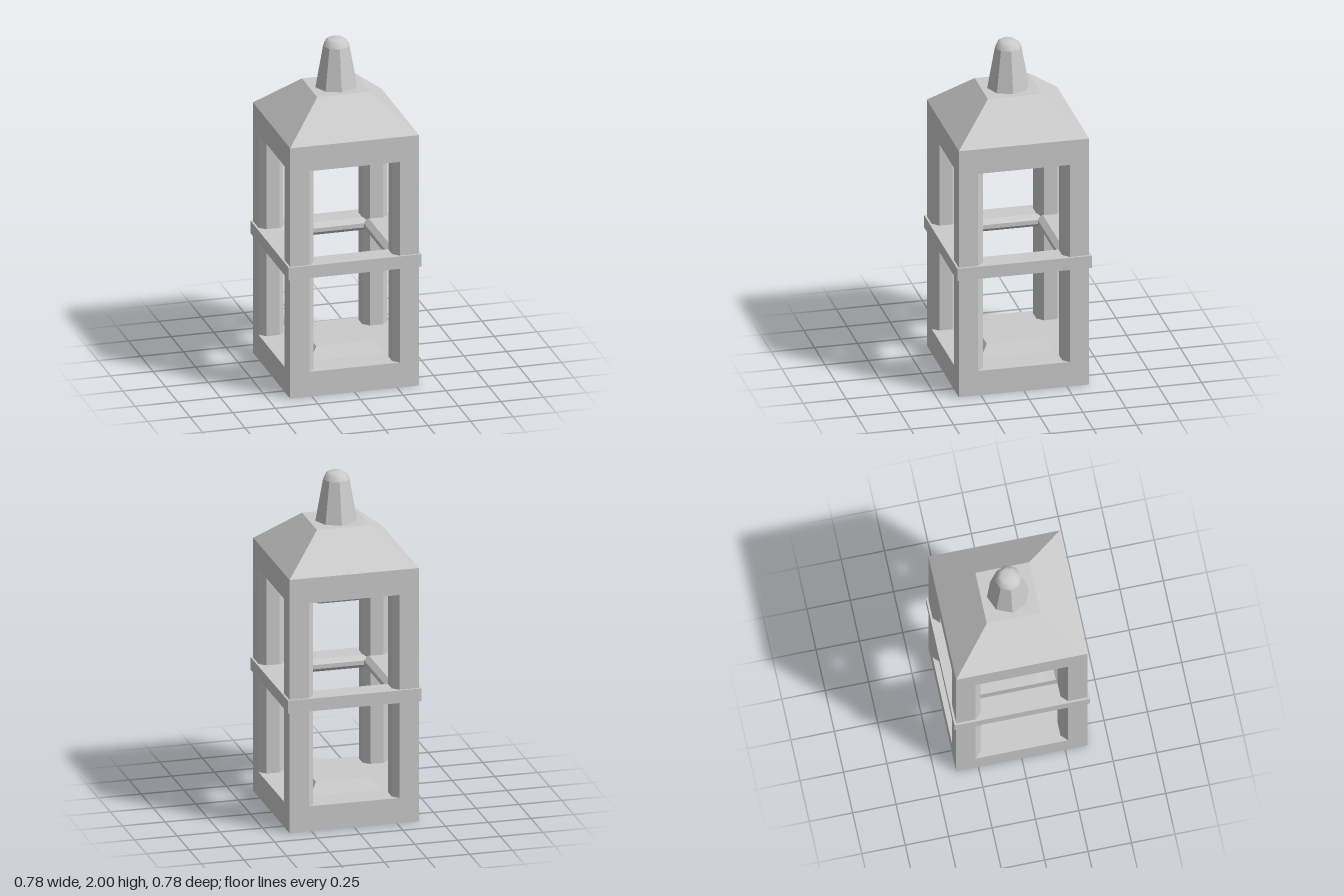
import * as THREE from 'three';

export function createModel() {
  const group = new THREE.Group();
  const flat = new THREE.MeshStandardMaterial({ color: 0xcccccc, flatShading: true });
  const smooth = new THREE.MeshStandardMaterial({ color: 0xcccccc });

  function add(name, geometry, material = flat) {
    const mesh = new THREE.Mesh(geometry, material);
    mesh.name = name;
    group.add(mesh);
    return mesh;
  }

  // Square block that may taper: half widths at bottom and top, from y0 to y1
  function taperedBlock(name, halfBottom, halfTop, y0, y1) {
    const g = new THREE.CylinderGeometry(halfTop * Math.SQRT2, halfBottom * Math.SQRT2, y1 - y0, 4);
    g.rotateY(Math.PI / 4).translate(0, (y0 + y1) / 2, 0);
    return add(name, g);
  }

  const half = 0.378;
  taperedBlock('base', half, half, 0, 0.15);
  taperedBlock('basePlinth', 0.212, 0.163, 0.15, 0.215);
  taperedBlock('topBand', half, half, 1.36, 1.51);
  taperedBlock('ceilingBoss', 0.148, 0.2, 1.27, 1.36);
  taperedBlock('roof', half, 0.155, 1.51, 1.713);

  // Corner posts: square outer corner, the other three corners chamfered
  const inner = 0.23, c = 0.036;
  const section = new THREE.Shape([
    [half, half], [inner + c, half], [inner, half - c], [inner, inner + c],
    [inner + c, inner], [half - c, inner], [half, inner + c],
  ].map(([x, y]) => new THREE.Vector2(x, y)));
  const postGeometry = new THREE.ExtrudeGeometry(section, { depth: 1.21, bevelEnabled: false });
  postGeometry.rotateX(-Math.PI / 2).translate(0, 0.15, 0);
  for (let i = 0; i < 4; i++) add('cornerPost', postGeometry).rotation.y = i * Math.PI / 2;

  // Middle ring: mitred square frame with a bevelled inner edge
  const ringProfile = [
    [0.39, 0.72], [0.39, 0.795], [0.26, 0.795], [0.23, 0.77],
    [0.23, 0.745], [0.26, 0.72], [0.39, 0.72],
  ].map(([r, y]) => new THREE.Vector2(r * Math.SQRT2, y));
  add('middleRing', new THREE.LatheGeometry(ringProfile, 4).rotateY(Math.PI / 4));

  // Finial: eight-sided tapered stem with a smooth cap
  add('finialStem', new THREE.CylinderGeometry(0.077, 0.121, 0.242, 8).translate(0, 1.834, 0));
  const capProfile = [[0.077, 1.955], [0.063, 1.982], [0.042, 1.998], [0, 2]]
    .map(([r, y]) => new THREE.Vector2(r, y));
  add('finialCap', new THREE.LatheGeometry(capProfile, 8), smooth);

  return group;
}
